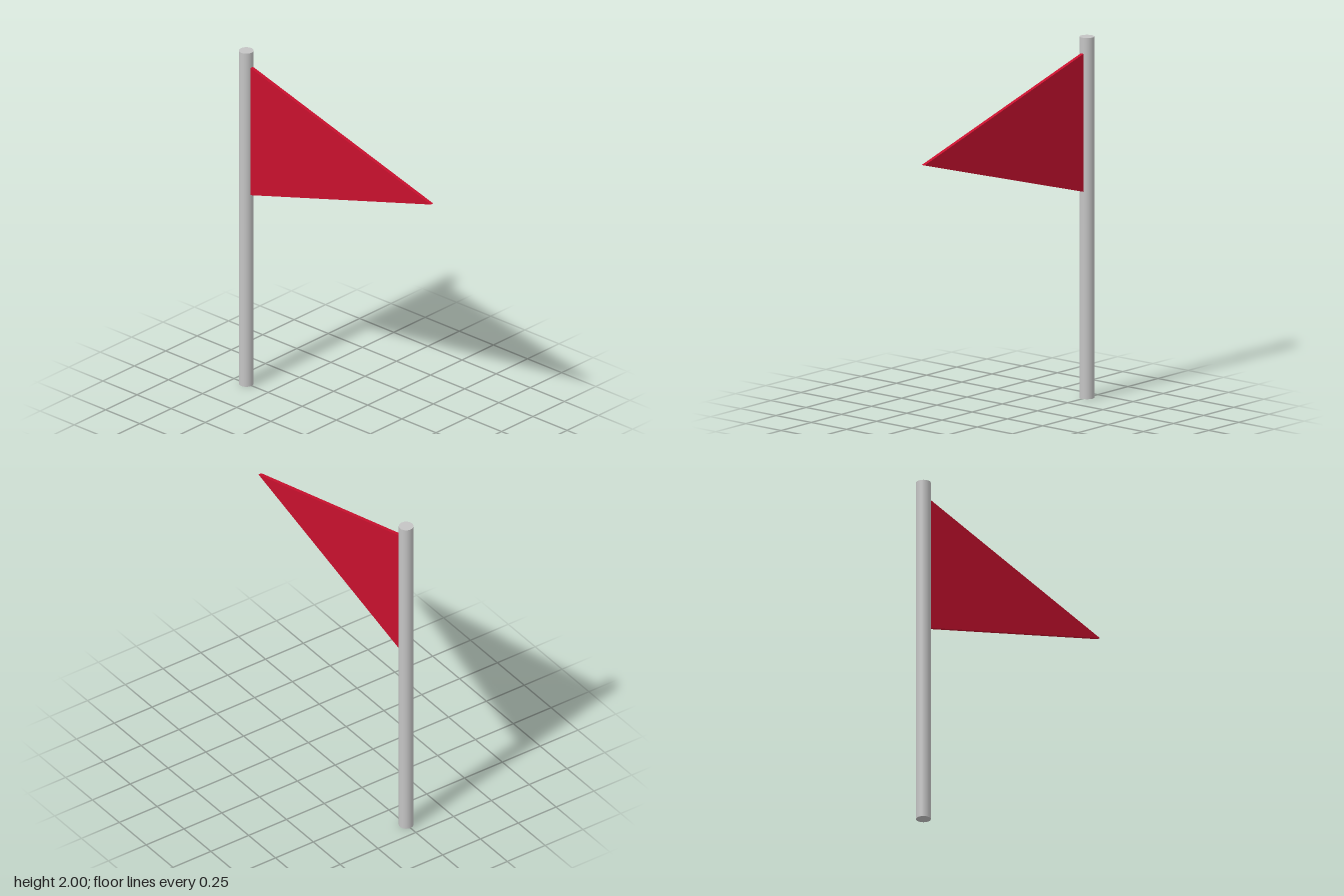
import * as THREE from 'three';

const POLE_X = -0.66, POLE_R = 0.04, HEIGHT = 2;
const CLOTH_DEPTH = 0.02;

export function createModel() {
  const group = new THREE.Group();
  group.name = 'pennantFlag';

  const metal = new THREE.MeshStandardMaterial({ color: 0xc4c4c4 });
  metal.name = 'pole grey';
  const red = new THREE.MeshStandardMaterial({ color: 0xc8102e });
  red.name = 'pennant red';

  // Round upright pole
  const pole = new THREE.Mesh(new THREE.CylinderGeometry(POLE_R, POLE_R, HEIGHT, 32), metal);
  pole.name = 'pole';
  pole.position.set(POLE_X, HEIGHT / 2, 0);
  group.add(pole);

  // Triangular pennant, its hoist edge touching the pole
  const hoist = POLE_X + POLE_R;
  const outline = new THREE.Shape([
    new THREE.Vector2(hoist, 1.148),
    new THREE.Vector2(0.7, 1.53),
    new THREE.Vector2(hoist, 1.912),
  ]);
  const cloth = new THREE.ExtrudeGeometry(outline, { depth: CLOTH_DEPTH, bevelEnabled: false });
  cloth.translate(0, 0, -CLOTH_DEPTH / 2);
  const pennant = new THREE.Mesh(cloth, red);
  pennant.name = 'pennant';
  group.add(pennant);

  return group;
}
